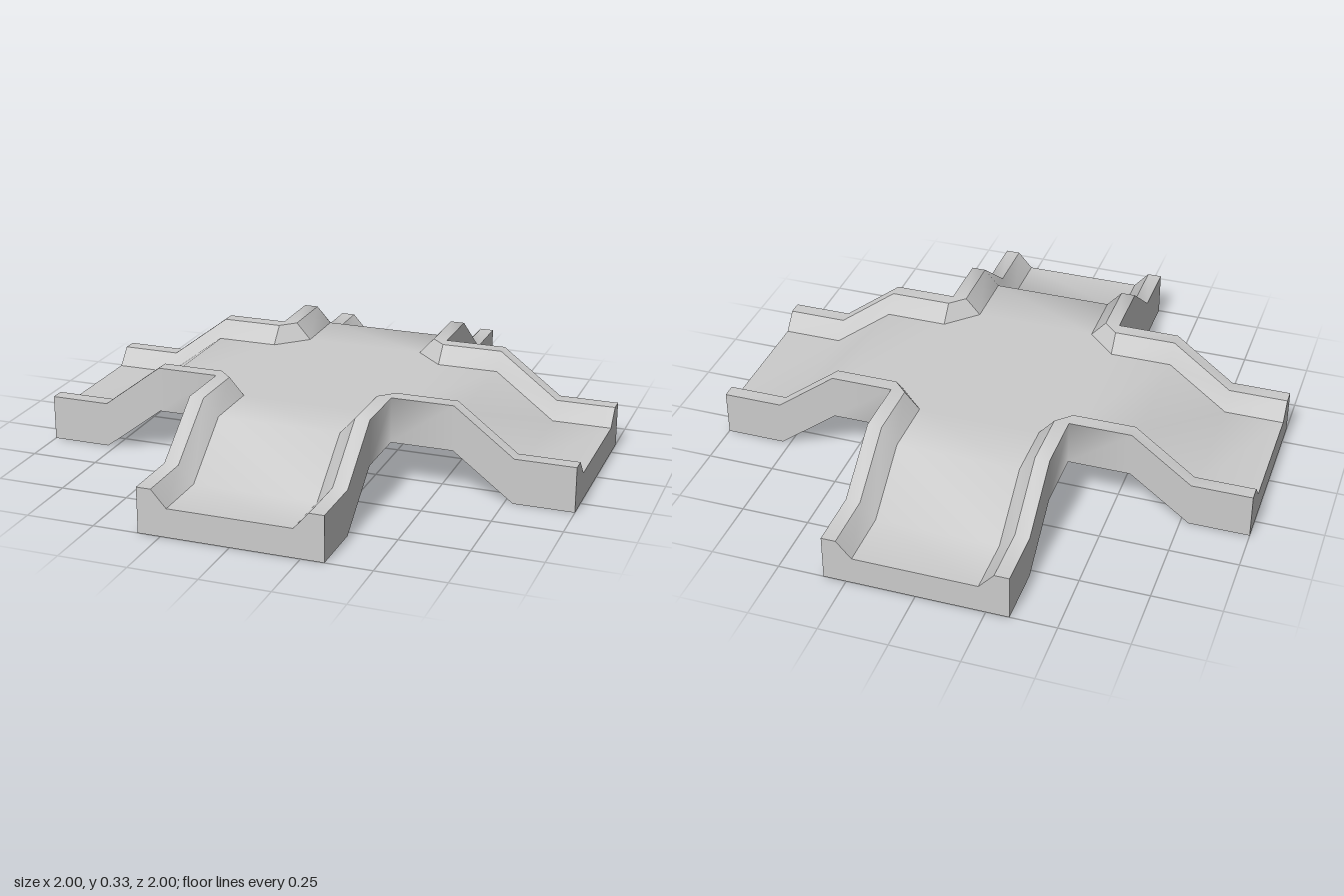
import * as THREE from 'three';

const OUTER = 0.333, RIM = 0.28, FLOOR = 0.225; // half widths across an arm
const RIM_H = 0.167, FLOOR_H = 0.105;           // heights above the underside
// distance from the centre and underside height, from arm end to hub
const STATIONS = [[1, 0], [0.78, 0], [0.56, 0.167], [OUTER, 0.167]];
const HUB_Y = 0.167;

const material = new THREE.MeshStandardMaterial({ color: 0xcccccc });

function addMesh(parent, name, geometry) {
  const mesh = new THREE.Mesh(geometry, material);
  mesh.name = name;
  parent.add(mesh);
}

// Smooth strip between two rows of points
function ribbon(a, b) {
  const index = [];
  for (let i = 0; i < a.length - 1; i++) {
    const p = a.length + i;
    index.push(i, p, i + 1, p, p + 1, i + 1);
  }
  const g = new THREE.BufferGeometry();
  g.setAttribute('position', new THREE.Float32BufferAttribute([...a, ...b].flat(), 3));
  g.setIndex(index);
  g.computeVertexNormals();
  return g;
}

// Line along the +z arm at sideways offset x
const armLine = (x, h) => STATIONS.map(([s, y]) => [x, y + h, s]);

// Line in along the +x arm, round the corner and out along the +z arm
const cornerLine = (o, h) => [
  ...STATIONS.map(([s, y]) => [s, y + h, o]),
  ...armLine(o, h).reverse(),
];

// Flat hub face from [z, half width] rows, running from +z to -z
const hubLine = (rows, side, y) => rows.map(([z, w]) => [side * w, y, z]);

function buildArm() {
  const arm = new THREE.Group();
  arm.name = 'arm';
  addMesh(arm, 'armFloor', ribbon(armLine(-FLOOR, FLOOR_H), armLine(FLOOR, FLOOR_H)));
  addMesh(arm, 'armUnderside', ribbon(armLine(OUTER, 0), armLine(-OUTER, 0)));
  // channel-shaped end face
  const profile = [
    [-OUTER, 0], [OUTER, 0], [OUTER, RIM_H], [RIM, RIM_H],
    [FLOOR, FLOOR_H], [-FLOOR, FLOOR_H], [-RIM, RIM_H], [-OUTER, RIM_H],
  ].map(([x, y]) => new THREE.Vector2(x, y));
  addMesh(arm, 'armEnd', new THREE.ShapeGeometry(new THREE.Shape(profile)).translate(0, 0, 1));
  return arm;
}

function buildCurb() {
  const curb = new THREE.Group();
  curb.name = 'cornerCurb';
  const top = cornerLine(OUTER, RIM_H);
  const inner = cornerLine(RIM, RIM_H);
  const foot = cornerLine(FLOOR, FLOOR_H);
  const single = (line) => line.filter((_, i) => i !== 4); // one shared corner point
  addMesh(curb, 'outerWall', ribbon(single(cornerLine(OUTER, 0)), single(top)));
  addMesh(curb, 'rim', ribbon(top, inner));
  // sloped inner face, with a hard-edged chamfer at the hub corner
  for (const [from, to] of [[0, 4], [3, 5], [4, 8]]) {
    addMesh(curb, 'innerSlope', ribbon(inner.slice(from, to), foot.slice(from, to)));
  }
  return curb;
}

export function createModel() {
  const model = new THREE.Group();
  model.name = 'crossBridge';

  // hub: octagonal floor above a square underside
  const octagon = [[OUTER, FLOOR], [FLOOR, OUTER], [-FLOOR, OUTER], [-OUTER, FLOOR]];
  const square = [[OUTER, OUTER], [-OUTER, OUTER]];
  const floorY = HUB_Y + FLOOR_H;
  addMesh(model, 'hubFloor', ribbon(hubLine(octagon, -1, floorY), hubLine(octagon, 1, floorY)));
  addMesh(model, 'hubUnderside', ribbon(hubLine(square, 1, HUB_Y), hubLine(square, -1, HUB_Y)));

  // four arms and four corner curbs
  for (let i = 0; i < 4; i++) {
    for (const part of [buildArm(), buildCurb()]) {
      part.rotation.y = (i * Math.PI) / 2;
      model.add(part);
    }
  }
  return model;
}
